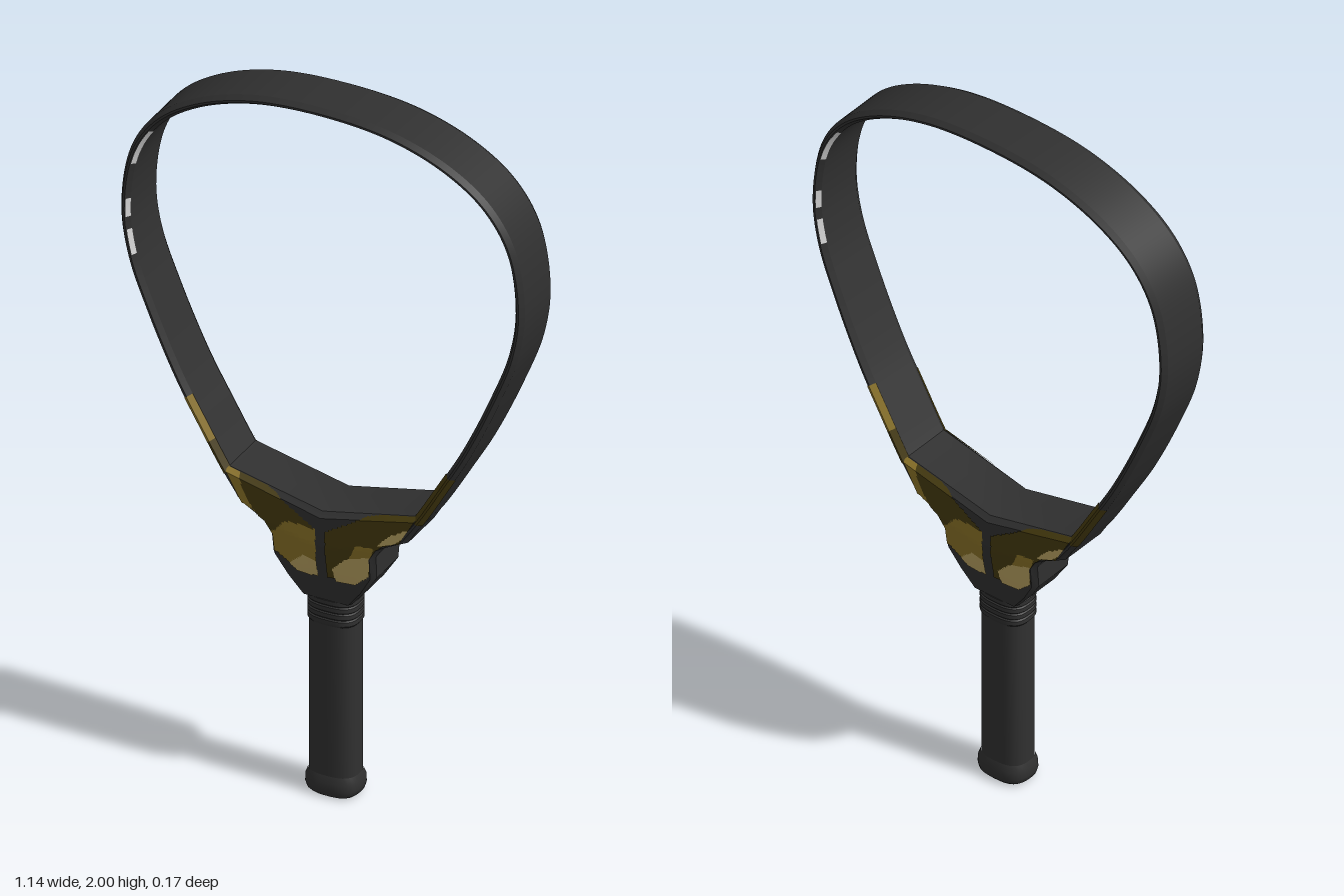
import * as THREE from 'three';
import { toCreasedNormals } from 'three/addons/utils/BufferGeometryUtils.js';

const material = (name, color) => Object.assign(new THREE.MeshStandardMaterial({ color }), { name });

// Builds a mesh from a list of corner points, three for each triangle
function triMesh(name, tris, mat) {
  const geo = new THREE.BufferGeometry();
  geo.setAttribute('position', new THREE.Float32BufferAttribute(tris.flat(), 3));
  const mesh = new THREE.Mesh(toCreasedNormals(geo, 0.5), mat);
  mesh.name = name;
  return mesh;
}

// Skins rows of points; closed wraps each row round and caps both ends
function loft(rows, closed) {
  const tris = [], n = rows[0].length;
  for (let i = 0; i < rows.length - 1; i++) {
    for (let j = 0; j < (closed ? n : n - 1); j++) {
      const k = (j + 1) % n, a = rows[i], b = rows[i + 1];
      tris.push(a[j], a[k], b[j], a[k], b[k], b[j]);
    }
  }
  if (closed) {
    const a = rows[0], b = rows[rows.length - 1];
    for (let j = 0; j < n / 2 - 1; j++) {
      const p = (n - j) % n, q = n - j - 1;
      tris.push(b[p], b[j + 1], b[j + 2], b[p], b[j + 2], b[q]);
      tris.push(a[p], a[j + 2], a[j + 1], a[p], a[q], a[j + 2]);
    }
  }
  return tris;
}

function inside(x, y, poly) {
  let hit = false;
  for (let i = 0, j = poly.length - 1; i < poly.length; j = i++) {
    const [xi, yi] = poly[i], [xj, yj] = poly[j];
    if ((yi > y) !== (yj > y) && x < ((xj - xi) * (y - yi)) / (yj - yi) + xi) hit = !hit;
  }
  return hit;
}

// Throat stations: edge x, edge y, centre y, half depth
const STATIONS = [
  [0.068, 0.57, 0.57, 0.054], [0.11, 0.62, 0.615, 0.062], [0.145, 0.675, 0.66, 0.071],
  [0.147, 0.74, 0.70, 0.079], [0.17, 0.775, 0.735, 0.083], [0.24, 0.81, 0.77, 0.083],
  [0.287, 0.888, 0.82, 0.083], [0.292, 0.9, 0.835, 0.07],
];

// Point on the throat front; u runs from -1 at the right edge to 1 at the left
function throatFront(u, v, lift) {
  const i = Math.min(Math.floor(v), STATIONS.length - 2);
  const [ex, ey, cy, d] = STATIONS[i].map((s, k) => THREE.MathUtils.lerp(s, STATIONS[i + 1][k], v - i));
  return [ex * u, THREE.MathUtils.lerp(cy, ey, Math.abs(u)), d + lift];
}

export function createModel() {
  const model = new THREE.Group();
  model.name = 'racket';
  const black = material('matte black', 0x303030);
  const gold = material('camo gold', 0x8a7227);
  const olive = material('camo olive', 0x453a0e);
  const tan = material('camo tan', 0xb9a261);
  const white = material('white', 0xd8d8d8);

  // Teardrop hoop: an outline swept with a bevelled section
  const half = [[-0.237, 0.81], [-0.283, 0.877], [-0.35, 0.99], [-0.415, 1.105], [-0.495, 1.28],
    [-0.55, 1.43], [-0.568, 1.57], [-0.54, 1.74], [-0.47, 1.85], [-0.36, 1.928], [-0.2, 1.983]];
  const outline = [...half, [0, 2], ...half.map(([x, y]) => [-x, y]).reverse()];
  const curve = new THREE.CatmullRomCurve3(outline.map(([x, y]) => new THREE.Vector3(x, y, 0)), false, 'centripetal');
  const stations = [];
  for (let i = 0; i <= 180; i++) {
    stations.push({ p: curve.getPointAt(i / 180), t: curve.getTangentAt(i / 180) });
  }
  const sweep = (list, profile) => list.map(({ p, t }) =>
    profile.map(([n, z]) => [p.x - t.y * n, p.y + t.x * n, z]));
  const section = [[0, -0.068], [0, 0.068], [-0.01, 0.083], [-0.016, 0.083],
    [-0.026, 0.068], [-0.026, -0.068], [-0.016, -0.083], [-0.01, -0.083]];
  model.add(triMesh('hoop', loft(sweep(stations, section), true), black));

  // Throat: tapered yoke with a V-shaped top
  const b = 0.014;
  const rows = STATIONS.map(([ex, ey, cy, d]) => {
    const ix = ex * 0.92, iy = THREE.MathUtils.lerp(cy, ey, 0.92);
    return [[-ex, ey, b - d], [-ex, ey, d - b], [-ix, iy, d], [0, cy, d], [ix, iy, d],
      [ex, ey, d - b], [ex, ey, b - d], [ix, iy, -d], [0, cy, -d], [-ix, iy, -d]];
  });
  model.add(triMesh('throat', loft(rows, true), black));

  // Painted details for one side, repeated on the other by a half turn
  const paint = new THREE.Group();
  paint.name = 'frontPaint';
  const panel = [[0.285, 0.91], [0.13, 0.86], [0.013, 0.785], [0.013, 0.65], [0.07, 0.65],
    [0.135, 0.69], [0.14, 0.74], [0.17, 0.785], [0.235, 0.815]];
  // Camo blobs, first match wins
  const blobs = [
    [tan, [[-0.095, 0.66], [-0.05, 0.7], [-0.013, 0.69], [-0.013, 0.642], [-0.07, 0.642]]],
    [olive, [[-0.235, 0.9], [-0.13, 0.86], [-0.012, 0.785], [-0.05, 0.79], [-0.1, 0.787],
      [-0.125, 0.755], [-0.15, 0.74], [-0.17, 0.775], [-0.19, 0.8], [-0.215, 0.84]]],
    [gold, panel.map(([x, y]) => [-x, y])],
    [tan, [[0.03, 0.68], [0.07, 0.72], [0.14, 0.745], [0.13, 0.68], [0.09, 0.645], [0.035, 0.64]]],
    [tan, [[0.16, 0.785], [0.19, 0.82], [0.255, 0.86], [0.235, 0.825], [0.2, 0.8]]],
    [gold, [[0.08, 0.725], [0.1, 0.77], [0.15, 0.775], [0.14, 0.74]]],
    [olive, panel],
  ];
  const camo = new Map([[gold, []], [olive, []], [tan, []]]);
  const NU = 100, NV = 70, top = STATIONS.length - 1;
  const at = (i, j) => throatFront(-0.92 + (1.84 * i) / NU, (top * j) / NV, 0.003);
  for (let i = 0; i < NU; i++) {
    for (let j = 0; j < NV; j++) {
      const [x, y] = at(i + 0.5, j + 0.5);
      const blob = blobs.find(([, poly]) => inside(x, y, poly));
      if (!blob) continue;
      const p = at(i, j), q = at(i + 1, j), r = at(i + 1, j + 1), s = at(i, j + 1);
      camo.get(blob[0]).push(p, q, r, p, r, s);
    }
  }
  for (const [mat, tris] of camo) paint.add(triMesh('throatCamo', tris, mat));

  // Strips along the hoop edge, chosen by side and height
  const strip = (name, side, y0, y1, profile, mat) => {
    const list = stations.filter(({ p }) => p.x * side > 0 && p.y >= y0 && p.y <= y1);
    paint.add(triMesh(name, loft(sweep(list, profile), false), mat));
  };
  const edge = [[0.002, 0.07], [-0.01, 0.085], [-0.016, 0.085], [-0.028, 0.07]];
  strip('hoopCamo', -1, 0.87, 0.95, edge, olive);
  strip('hoopCamo', -1, 0.93, 1.06, edge, gold);
  strip('hoopCamo', 1, 0.87, 1.04, edge, olive);
  const bevel = [[-0.019, 0.082], [-0.028, 0.069]];
  for (const [y0, y1] of [[1.42, 1.51], [1.53, 1.61], [1.7, 1.82]]) {
    strip('accentDash', -1, y0, y1, bevel, white);
  }
  const backPaint = paint.clone();
  backPaint.name = 'backPaint';
  backPaint.rotation.y = Math.PI;
  model.add(paint, backPaint);

  // Handle parts: turned profiles squeezed to a rounded-rectangle section
  const turned = (name, profile) => {
    const geo = new THREE.LatheGeometry(profile.map(([r, y]) => new THREE.Vector2(r, y)), 40);
    const pos = geo.attributes.position;
    for (let i = 0; i < pos.count; i++) {
      const a = Math.atan2(pos.getX(i), pos.getZ(i));
      const k = (Math.abs(Math.sin(a)) ** 2.8 + Math.abs(Math.cos(a)) ** 2.8) ** (-1 / 2.8);
      pos.setX(i, pos.getX(i) * k);
      pos.setZ(i, pos.getZ(i) * k * 0.79);
    }
    const mesh = new THREE.Mesh(toCreasedNormals(geo, 0.6), black);
    mesh.name = name;
    model.add(mesh);
  };
  turned('buttCap', [[0.0005, 0], [0.062, 0], [0.071, 0.008], [0.075, 0.022], [0.074, 0.042], [0.067, 0.06]]);
  turned('grip', [[0.066, 0.05], [0.066, 0.5]]);
  const rings = [[0.066, 0.495]];
  for (let i = 0; i < 4; i++) {
    const y = 0.497 + i * 0.019;
    rings.push([0.07, y + 0.003], [0.07, y + 0.015], [0.066, y + 0.018]);
  }
  turned('collar', [...rings, [0.066, 0.578], [0.0005, 0.58]]);
  return model;
}
